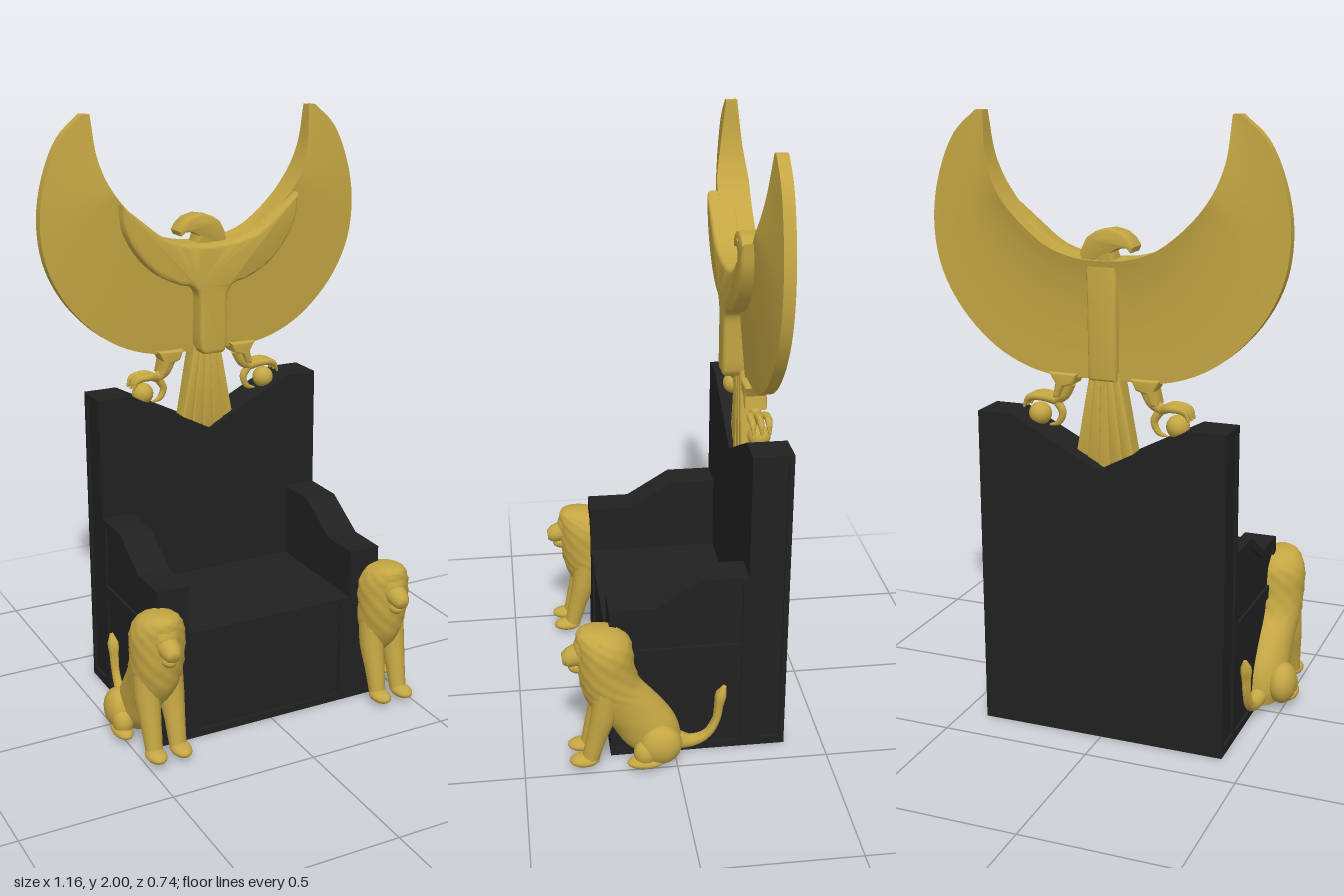
import * as THREE from 'three';
import { toCreasedNormals } from 'three/addons/utils/BufferGeometryUtils.js';

const V = (x, y, z = 0) => new THREE.Vector3(x, y, z);
const poly = pts => new THREE.Shape(pts.map(p => new THREE.Vector2(p[0], p[1])));
const rect = (x0, y0, x1, y1) => [[x0, y0], [x1, y0], [x1, y1], [x0, y1]];
const smooth = (pts, n) => new THREE.CatmullRomCurve3(pts.map(p => V(...p)), false, 'centripetal').getPoints(n);

// Closed skin over a list of equal-length rings, with capped ends
function loft(rings, crease = 0.7) {
  const m = rings[0].length, pos = [], idx = [];
  rings.forEach(r => r.forEach(p => pos.push(p.x, p.y, p.z)));
  for (let i = 0; i < rings.length - 1; i++)
    for (let j = 0; j < m; j++) {
      const a = i * m + j, b = i * m + (j + 1) % m;
      idx.push(a, b, a + m, b, b + m, a + m);
    }
  const last = (rings.length - 1) * m;
  for (let j = 1; j < m - 1; j++) idx.push(0, j + 1, j, last, last + j, last + j + 1);
  const g = new THREE.BufferGeometry();
  g.setAttribute('position', new THREE.Float32BufferAttribute(pos, 3));
  g.setIndex(idx);
  return toCreasedNormals(g, crease);
}

// Round limb through [x, y, z, radius] points
function limb(pts, sides = 12) {
  const c = new THREE.CatmullRomCurve3(pts.map(p => V(p[0], p[1], p[2]))), n = 20;
  const f = c.computeFrenetFrames(n);
  return loft(Array.from({ length: n + 1 }, (_, i) => {
    const u = i / n, t = c.getUtoTmapping(u) * (pts.length - 1), k = Math.min(Math.floor(t), pts.length - 2);
    const r = THREE.MathUtils.lerp(pts[k][3], pts[k + 1][3], t - k), o = c.getPointAt(u);
    return Array.from({ length: sides }, (_, j) => {
      const a = j / sides * Math.PI * 2;
      return o.clone().addScaledVector(f.normals[i], r * Math.cos(a)).addScaledVector(f.binormals[i], r * Math.sin(a));
    });
  }), 1.2);
}

const ball = (x, y, z, rx, ry = rx, rz = rx) => new THREE.SphereGeometry(1, 20, 14).scale(rx, ry, rz).translate(x, y, z);

// Extrusion from z0 to z1 with an optional rounded edge
function slab(shape, z0, z1, bevel = 0) {
  const g = new THREE.ExtrudeGeometry(shape, {
    depth: z1 - z0 - 2 * bevel, bevelEnabled: bevel > 0, bevelSize: bevel, bevelOffset: -bevel,
    bevelThickness: bevel, bevelSegments: 4,
  }).translate(0, 0, z0 + bevel);
  return bevel ? toCreasedNormals(g, 0.7) : g;
}

// Extrusion of a (z, y) outline running from x0 to x1
const sideSlab = (shape, x0, x1) => slab(shape, 0, x1 - x0).rotateY(-Math.PI / 2).translate(x1, 0, 0);

function framed(outline, ...holes) {
  const s = poly(outline);
  s.holes = holes.map(h => new THREE.Path(h.map(p => new THREE.Vector2(...p))));
  return s;
}

export function createModel() {
  const black = new THREE.MeshStandardMaterial({ color: 0x212121 });
  black.name = 'black lacquer';
  const gold = new THREE.MeshStandardMaterial({ color: 0xc4a643 });
  gold.name = 'gold';
  const root = new THREE.Group();
  root.name = 'throne';
  const group = name => { const g = new THREE.Group(); g.name = name; root.add(g); return g; };
  const add = (parent, name, geo, mat) => {
    const m = new THREE.Mesh(geo, mat);
    m.name = name;
    parent.add(m);
  };

  // Chair: notched back, hollow seat open below, stepped arms with framed panels
  const chair = group('chair');
  const w = 0.407;
  const backShape = poly([[-w, 0], [w, 0], [w, 1.065], [0.3, 1.065], [0, 0.91], [-0.3, 1.065], [-w, 1.065]]);
  add(chair, 'backrest', slab(backShape, -0.372, -0.24), black);
  add(chair, 'seat', new THREE.BoxGeometry(0.8, 0.012, 0.452).translate(0, 0.379, -0.014), black);
  add(chair, 'seatFront', slab(poly(rect(-w, 0, w, 0.38)), 0.194, 0.204), black);
  add(chair, 'seatFrontFrame', slab(framed(rect(-w, 0, w, 0.385), rect(-0.268, 0.025, 0.268, 0.365)), 0.204, 0.212), black);
  const armTop = [[0.212, 0.553], [0.065, 0.553], [-0.085, 0.645], [-0.24, 0.645]];
  const armSide = [[-0.24, 0], [0.212, 0], ...armTop];
  const armPanel = [[-0.222, 0.4], [0.19, 0.4], [0.19, 0.525], [0.058, 0.525], [-0.092, 0.615], [-0.222, 0.615]];
  const armFrame = framed(armSide, rect(-0.222, 0.025, 0.19, 0.355), armPanel);
  const backFrame = framed(rect(-0.372, 0, -0.24, 1.065), rect(-0.355, 0.03, -0.255, 1.035));
  for (const s of [-1, 1]) {
    const span = (a, b) => s > 0 ? [a, b] : [-b, -a];
    add(chair, 'arm', sideSlab(poly([[-0.24, 0.375], [0.212, 0.375], ...armTop]), ...span(0.303, 0.407)), black);
    add(chair, 'sidePanel', sideSlab(poly(armSide), ...span(0.399, 0.407)), black);
    add(chair, 'armFrame', sideSlab(armFrame, ...span(0.407, 0.415)), black);
    add(chair, 'backrestFrame', sideSlab(backFrame, ...span(0.407, 0.415)), black);
  }

  // Bird: raised wings lofted between the inner and outer edges, thickest along the inner edge
  const bird = group('bird');
  const both = half => [...half.map(([x, y]) => [-x, y, 0]), ...half.slice(0, -1).reverse().map(([x, y]) => [x, y, 0])];
  const n = 72;
  const innerHalf = [[0.4, 2], [0.385, 1.86], [0.345, 1.76], [0.27, 1.67], [0.17, 1.595], [0.08, 1.567], [0, 1.562]];
  const inner = smooth(both(innerHalf), n);
  const outer = smooth(both([[0.425, 2], [0.5, 1.93], [0.555, 1.81], [0.58, 1.67], [0.565, 1.53], [0.51, 1.41], [0.42, 1.305], [0.32, 1.235], [0.19, 1.192], [0, 1.19]]), n);
  const steps = [0, 0.04, 0.1, 0.18, 0.28, 0.4, 0.6, 0.8, 1];
  const wingRings = inner.map((p, i) => {
    const q = outer[i], tip = Math.min(1, Math.sin(Math.PI * i / n) * 1.9);
    const at = (s, front) => {
      const v = p.clone().lerp(q, s);
      v.z = front ? -0.278 + 0.038 * tip * (1 - s) : -0.315 - 0.034 * tip * Math.pow(1 - s, 3);
      return v;
    };
    return [...steps.map(s => at(s, true)), ...steps.slice().reverse().map(s => at(s, false))];
  });
  add(bird, 'wings', loft(wingRings, 0.6), gold);

  // Raised shoulders and breast, with a matching spine behind
  const under = smooth([[0.325, 1.715], [0.315, 1.63], [0.27, 1.545], [0.2, 1.475], [0.12, 1.435], [0.08, 1.425], [0.057, 1.4], [0.051, 1.35], [0.046, 1.2], [0.035, 1.187]], 40);
  const rim = smooth(innerHalf.slice(3), 16).filter(p => p.x < 0.265);
  const mirror = p => V(-p.x, p.y);
  const outline = [...under, ...under.slice().reverse().map(mirror), ...rim.map(mirror), ...rim.slice(0, -1).reverse()];
  add(bird, 'breast', slab(poly(outline.map(p => [p.x, p.y]).reverse()), -0.3, -0.205, 0.014), gold);
  add(bird, 'spine', slab(poly([[-0.046, 1.188], [0.046, 1.188], [0.05, 1.55], [-0.05, 1.55]]), -0.345, -0.28, 0.012), gold);

  // Head in profile with a hooked beak and eye slot
  const skull = framed([[0.07, 1.54], [0.07, 1.59], [0.05, 1.63], [0.02, 1.65], [-0.02, 1.657], [-0.06, 1.648], [-0.085, 1.628],
    [-0.1, 1.605], [-0.093, 1.588], [-0.078, 1.602], [-0.05, 1.6], [-0.025, 1.585], [-0.04, 1.54]].reverse(),
  [[-0.06, 1.622], [-0.045, 1.632], [0.005, 1.63], [0.01, 1.616]]);
  add(bird, 'head', slab(skull, -0.335, -0.258, 0.004), gold);
  add(bird, 'eyes', slab(poly(rect(-0.065, 1.605, 0.02, 1.638)), -0.327, -0.266), gold);

  // Fanned tail feathers
  for (let i = -2; i <= 2; i++) {
    const a = i * 0.019, b = i * 0.042, d = 0.01 - Math.abs(i) * 0.003;
    add(bird, 'tailFeather', slab(poly([[b - 0.021, 0.9], [b + 0.021, 0.9], [a + 0.0105, 1.21], [a - 0.0105, 1.21]]), -0.32 - d, -0.265 + d, 0.006), gold);
  }

  // Thighs and talons, each gripping an orb
  for (const s of [-1, 1]) {
    const thigh = [[0.09, 1.2], [0.105, 1.165], [0.14, 1.155], [0.155, 1.12], [0.175, 1.12], [0.165, 1.165], [0.185, 1.2]].map(([x, y]) => [s * x, y]);
    add(bird, 'thigh', slab(poly(thigh), -0.33, -0.256, 0.008), gold);
    add(bird, 'shank', limb([[s * 0.13, 1.165, -0.293, 0.022], [s * 0.15, 1.125, -0.293, 0.02], [s * 0.185, 1.1, -0.293, 0.016]]), gold);
    add(bird, 'orb', ball(s * 0.233, 1.055, -0.293, 0.037), gold);
    for (const dz of [-0.026, 0, 0.026])
      add(bird, 'frontTalon', limb([[s * 0.175, 1.1, -0.293, 0.014], [s * 0.215, 1.116, -0.293 + dz, 0.013],
        [s * 0.262, 1.108, -0.293 + dz, 0.011], [s * 0.278, 1.078, -0.293 + dz, 0.004]], 8), gold);
    add(bird, 'rearTalon', limb([[s * 0.175, 1.1, -0.293, 0.014], [s * 0.155, 1.065, -0.293, 0.013],
      [s * 0.17, 1.03, -0.293, 0.01], [s * 0.2, 1.02, -0.293, 0.003]], 8), gold);
  }

  // Seated lions: rings of [y, centre z, half width, half depth]
  const torso = [[0.02, 0.05, 0.05, 0.06], [0.07, 0.075, 0.07, 0.095], [0.14, 0.105, 0.075, 0.11], [0.2, 0.15, 0.076, 0.118],
    [0.25, 0.185, 0.08, 0.112], [0.3, 0.212, 0.086, 0.097], [0.36, 0.225, 0.088, 0.093], [0.42, 0.228, 0.09, 0.09],
    [0.46, 0.235, 0.08, 0.086], [0.49, 0.25, 0.058, 0.066], [0.503, 0.262, 0.03, 0.036]];
  const spread = smooth(torso.map(t => [t[0], t[1], t[2]]), 40);
  const depth = smooth(torso.map(t => [t[0], t[1], t[3]]), 40);
  const bodyRings = spread.map((p, i) => Array.from({ length: 36 }, (_, j) => {
    const a = j / 36 * Math.PI * 2;
    const fur = p.x > 0.26 ? 1 + 0.03 * Math.cos(a * 9) * Math.cos(i * 1.57) : 1;
    return V(Math.sin(a) * p.z * fur, p.x, p.y + Math.cos(a) * depth[i].z * fur);
  }));
  const bodyGeo = loft(bodyRings, 1);
  for (const s of [-1, 1]) {
    const lion = group(s > 0 ? 'leftLion' : 'rightLion');
    lion.position.x = s * 0.425;
    add(lion, 'bodyAndMane', bodyGeo, gold);
    add(lion, 'face', ball(0, 0.43, 0.27, 0.055, 0.066, 0.06), gold);
    add(lion, 'muzzle', limb([[0, 0.425, 0.26, 0.05], [0, 0.41, 0.315, 0.037], [0, 0.4, 0.35, 0.03], [0, 0.398, 0.366, 0.018]]), gold);
    add(lion, 'chin', ball(0, 0.365, 0.315, 0.024, 0.022, 0.032), gold);
    add(lion, 'tail', limb([[0, 0.06, 0.01, 0.035], [0, 0.045, -0.05, 0.022], [0, 0.065, -0.105, 0.016], [0, 0.12, -0.138, 0.014],
      [0, 0.18, -0.147, 0.016], [0, 0.215, -0.153, 0.021], [0, 0.25, -0.165, 0.006]]), gold);
    for (const k of [-1, 1]) {
      add(lion, 'ear', ball(k * 0.055, 0.468, 0.245, 0.018, 0.02, 0.012), gold);
      add(lion, 'frontLeg', limb([[k * 0.04, 0.3, 0.225, 0.045], [k * 0.042, 0.2, 0.24, 0.042], [k * 0.042, 0.12, 0.262, 0.034], [k * 0.042, 0.03, 0.285, 0.028]]), gold);
      add(lion, 'frontPaw', ball(k * 0.044, 0.033, 0.303, 0.033, 0.021, 0.05), gold);
      add(lion, 'haunch', ball(k * 0.068, 0.088, 0.055, 0.048, 0.07, 0.07), gold);
      add(lion, 'shin', ball(k * 0.075, 0.065, 0.105, 0.035, 0.045, 0.04), gold);
      add(lion, 'hindPaw', ball(k * 0.08, 0.033, 0.105, 0.032, 0.02, 0.062), gold);
    }
  }
  return root;
}
